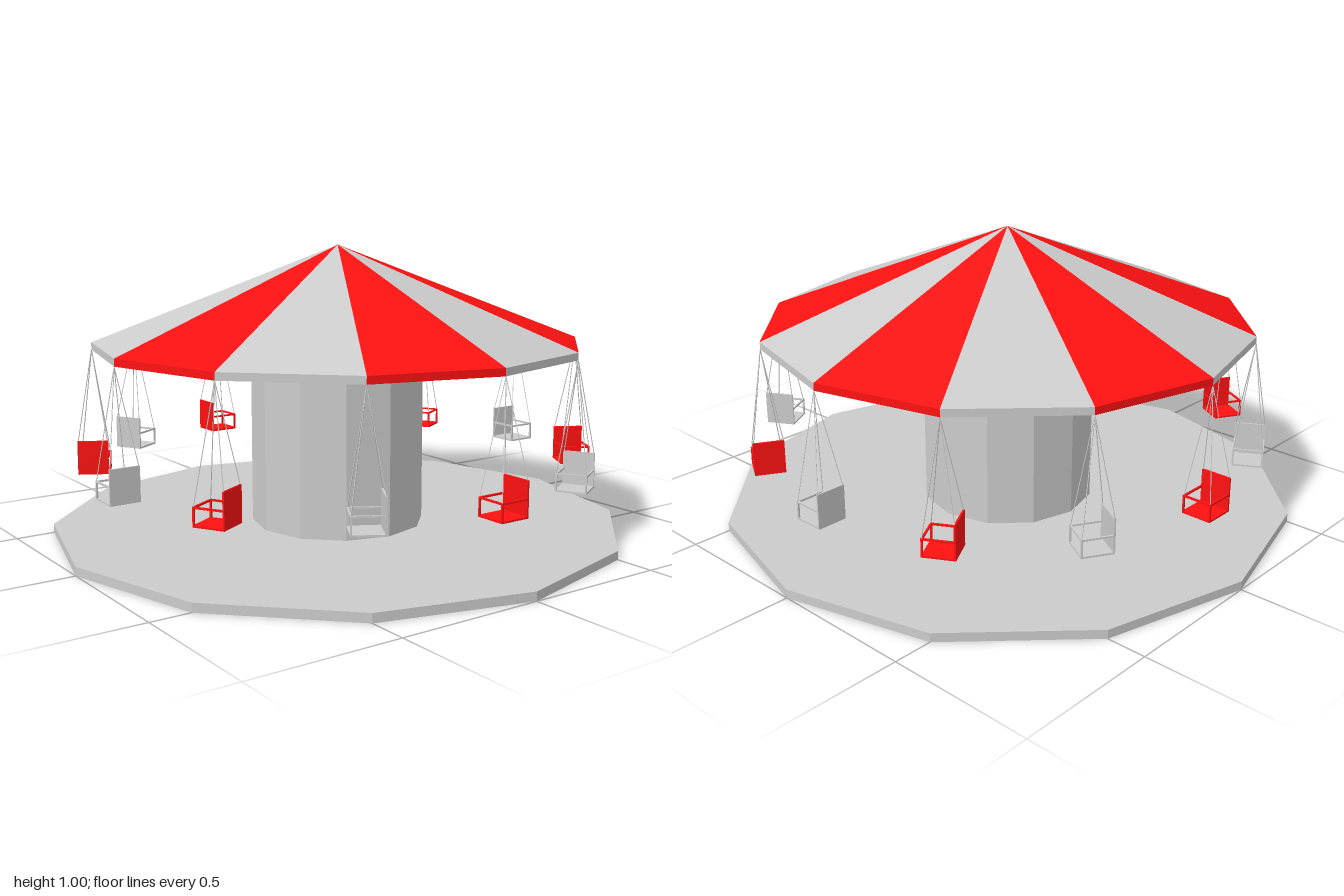
import * as THREE from 'three';
import { mergeGeometries } from 'three/addons/utils/BufferGeometryUtils.js';

const SIDES = 12;
const STEP = (Math.PI * 2) / SIDES;
const ROOF_R = 0.85, RIM_LOW = 0.645, RIM_HIGH = 0.67, APEX = 1;

const grey = new THREE.MeshStandardMaterial({ color: 0xcccccc, flatShading: true });
const red = new THREE.MeshStandardMaterial({ color: 0xff1111, flatShading: true });

function part(name, geometry, material) {
  const mesh = new THREE.Mesh(geometry, material);
  mesh.name = name;
  return mesh;
}

function box(w, h, d, x, y, z) {
  return new THREE.BoxGeometry(w, h, d).translate(x, y, z);
}

// Thin straight cable between two points
function cable(a, b) {
  return new THREE.TubeGeometry(new THREE.LineCurve3(a, b), 1, 0.0016, 4, false);
}

// One canopy wedge: sloping panel plus its piece of the rim
function wedge(k) {
  const slope = APEX - RIM_HIGH, rim = RIM_HIGH - RIM_LOW;
  return mergeGeometries([
    new THREE.ConeGeometry(ROOF_R, slope, 1, 1, true, k * STEP, STEP)
      .translate(0, RIM_HIGH + slope / 2, 0),
    new THREE.CylinderGeometry(ROOF_R, ROOF_R, rim, 1, 1, true, k * STEP, STEP)
      .translate(0, RIM_LOW + rim / 2, 0),
  ]);
}

// Chair hanging at +z, riding towards -x with its backrest on the +x side
function createSwing(material) {
  const swing = new THREE.Group();
  const half = 0.052, low = 0.218, arm = 0.28, top = 0.335, t = 0.006;
  swing.add(part('seat', box(2 * half, t, 2 * half, 0, low + t / 2, 0), material));
  swing.add(part('backrest', box(t, top - low, 2 * half, half, (top + low) / 2, 0), material));

  // Front posts, armrests and front bar
  const frame = [box(t, t, 2 * half, -half + t / 2, arm - t / 2, 0)];
  const cables = [];
  const hook = new THREE.Vector3(0, RIM_LOW, 0);
  for (const s of [-1, 1]) {
    const z = s * (half - t / 2);
    frame.push(box(t, arm - low, t, -half + t / 2, (arm + low) / 2, z));
    frame.push(box(2 * half, t, t, 0, arm - t / 2, z));
    cables.push(cable(hook, new THREE.Vector3(-half + t / 2, arm, z)));
    cables.push(cable(hook, new THREE.Vector3(half, top, z)));
  }
  swing.add(part('seatFrame', mergeGeometries(frame), material));
  swing.add(part('cables', mergeGeometries(cables), grey));
  return swing;
}

export function createModel() {
  const model = new THREE.Group();
  model.name = 'swingCarousel';

  model.add(part('platform', new THREE.CylinderGeometry(1, 1, 0.03, SIDES).translate(0, 0.015, 0), grey));

  const columnH = RIM_LOW - 0.03;
  model.add(part('column',
    new THREE.CylinderGeometry(0.303, 0.303, columnH, SIDES, 1, true).translate(0, 0.03 + columnH / 2, 0), grey));

  // Striped canopy with a flat ceiling
  const canopy = new THREE.Group();
  canopy.name = 'canopy';
  for (let k = 0; k < SIDES; k++) {
    canopy.add(part('canopyPanel', wedge(k), k % 2 ? grey : red));
  }
  canopy.add(part('ceiling',
    new THREE.CircleGeometry(ROOF_R, SIDES).rotateX(Math.PI / 2).translate(0, RIM_LOW, 0), grey));
  model.add(canopy);

  // Ring of swings under the rim corners
  for (let k = 0; k < SIDES; k++) {
    const swing = createSwing(k % 2 ? red : grey);
    swing.name = 'swing';
    swing.rotation.y = k * STEP;
    swing.position.set(Math.sin(k * STEP) * ROOF_R, 0, Math.cos(k * STEP) * ROOF_R);
    model.add(swing);
  }
  return model;
}
